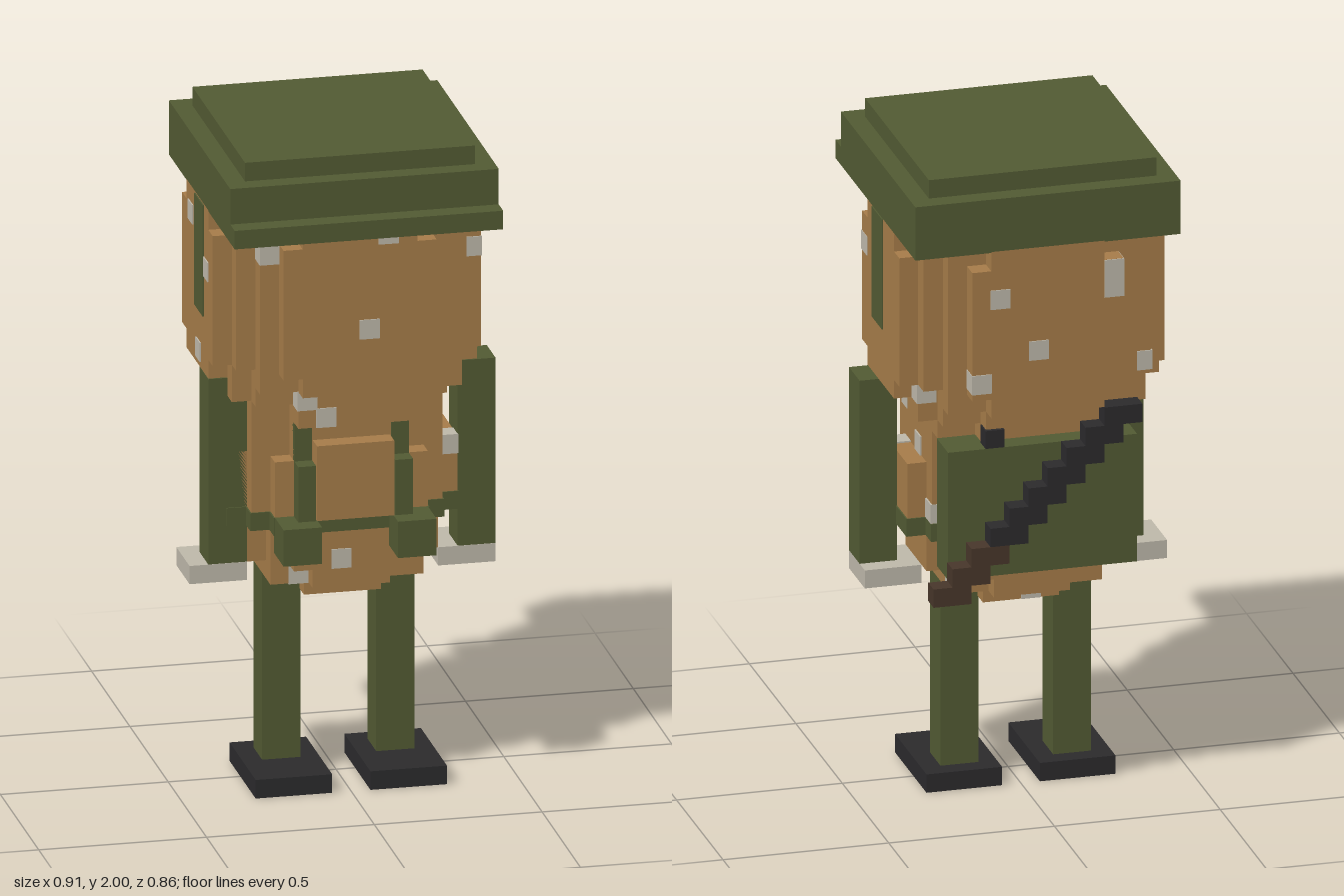
import * as THREE from 'three';

const mat = (name, color) => {
  const m = new THREE.MeshStandardMaterial({ color });
  m.name = name;
  return m;
};

export function createModel() {
  const green = mat('olive green', 0x525a33);
  const skin = mat('potato brown', 0xa67c49);
  const pale = mat('pale grey', 0xbeb8aa);
  const black = mat('charcoal', 0x2b2a2c);
  const wood = mat('dark wood', 0x47362a);
  const model = new THREE.Group();
  const V = 0.0573; // edge of one block

  // Box given by its limits on each axis
  function box(name, m, [x0, x1], [y0, y1], [z0, z1]) {
    const mesh = new THREE.Mesh(new THREE.BoxGeometry(x1 - x0, y1 - y0, z1 - z0), m);
    mesh.position.set((x0 + x1) / 2, (y0 + y1) / 2, (z0 + z1) / 2);
    mesh.name = name;
    model.add(mesh);
    return mesh;
  }
  // The same box on both sides
  function pair(name, m, [x0, x1], y, z) {
    box('left' + name, m, [x0, x1], y, z);
    box('right' + name, m, [-x1, -x0], y, z);
  }
  // Slab with stepped corners; steps are [half width, front z, back z], widest first
  function layer(name, m, y0, y1, steps, grow = 0) {
    const front = [], back = [];
    steps.forEach(([hx, zf, zb], i) => {
      const x = hx + grow;
      if (i > 0) {
        front.push([x, steps[i - 1][1] + grow]);
        back.push([x, steps[i - 1][2] - grow]);
      }
      front.push([x, zf + grow]);
      back.push([x, zb - grow]);
    });
    const flip = (a) => a.map(([x, z]) => [-x, z]);
    const outline = [...front, ...flip(front).reverse(), ...flip(back), ...back.slice().reverse()];
    const shape = new THREE.Shape(outline.map(([x, z]) => new THREE.Vector2(x, -z)));
    const geo = new THREE.ExtrudeGeometry(shape, { depth: y1 - y0, bevelEnabled: false });
    geo.rotateX(-Math.PI / 2);
    const mesh = new THREE.Mesh(geo, m);
    mesh.position.y = y0;
    mesh.name = name;
    model.add(mesh);
  }

  // Feet and legs
  pair('Foot', black, [0.057, 0.285], [0, 0.057], [-0.14, 0.2]);
  pair('Leg', green, [0.113, 0.227], [0.057, 0.66], [-0.083, 0.03]);

  // Rounded body, bottom to top
  const waist = [[0.343, 0.085, -0.14], [0.285, 0.143, -0.2], [0.228, 0.2, -0.257]];
  layer('bodyBase', skin, 0.575, 0.634, [[0.115, 0.085, -0.14]]);
  layer('bodyLow', skin, 0.634, 0.69, [[0.228, 0.143, -0.2], [0.115, 0.2, -0.257]]);
  layer('bodyHips', skin, 0.69, 0.805, [[0.285, 0.085, -0.14], [0.228, 0.143, -0.2], [0.171, 0.2, -0.257]]);
  layer('bodyWaist', skin, 0.805, 1.03, waist);
  layer('bodyChest', skin, 1.03, 1.148, [[0.285, 0.143, -0.2], [0.171, 0.2, -0.257]]);
  layer('neck', skin, 1.148, 1.205, [[0.285, 0.143, -0.257], [0.171, 0.257, -0.315]]);
  box('belly', skin, [-0.115, 0.115], [0.86, 1.09], [0.15, 0.257]);

  // Rounded head
  layer('jaw', skin, 1.205, 1.262, [[0.343, 0.143, -0.257], [0.285, 0.2, -0.315], [0.171, 0.257, -0.372]]);
  layer('cheeks', skin, 1.262, 1.32,
    [[0.4, 0.085, -0.2], [0.343, 0.143, -0.257], [0.285, 0.257, -0.372], [0.171, 0.315, -0.43]]);
  layer('head', skin, 1.32, 1.72,
    [[0.4, 0.143, -0.257], [0.343, 0.2, -0.315], [0.285, 0.257, -0.372], [0.228, 0.315, -0.43]]);
  layer('forehead', skin, 1.72, 1.78,
    [[0.4, 0.085, -0.2], [0.343, 0.2, -0.315], [0.285, 0.257, -0.372], [0.171, 0.315, -0.43]]);

  // Helmet with brim and cheek straps
  box('helmet', green, [-0.4, 0.4], [1.777, 1.943], [-0.43, 0.372]);
  box('helmetTop', green, [-0.343, 0.343], [1.943, 2], [-0.372, 0.315]);
  box('brim', green, [-0.4, 0.4], [1.777, 1.834], [0.372, 0.43]);
  pair('CheekStrap', green, [0.35, 0.404], [1.434, 1.777], [-0.083, 0.03]);

  // Arms and hands
  box('leftArm', green, [0.343, 0.456], [0.69, 1.26], [-0.03, 0.085]);
  box('rightArm', green, [-0.4, -0.285], [0.69, 1.26], [-0.03, 0.085]);
  pair('Hand', pale, [0.285, 0.456], [0.634, 0.69], [-0.086, 0.086]);

  // Belt, pouches, shoulder straps and backpack
  layer('belt', green, 0.805, 0.86, waist, 0.004);
  pair('Pouch', green, [0.113, 0.228], [0.748, 0.86], [0.19, 0.315]);
  pair('StrapLow', green, [0.118, 0.171], [0.86, 1.03], [0.18, 0.257]);
  pair('StrapHigh', green, [0.118, 0.171], [1.03, 1.145], [0.15, 0.205]);
  box('backpack', green, [-0.285, 0.285], [0.748, 1.145], [-0.372, -0.25]);
  box('packClip', black, [0.115, 0.172], [1.145, 1.2], [-0.372, -0.315]);

  // Stepped club slung across the backpack
  for (let i = 0; i < 10; i++) {
    const x = 0.345 - i * V, y = 0.69 + i * 0.057;
    box(i < 3 ? 'clubHandle' : 'clubShaft', i < 3 ? wood : black,
      [x - 2 * V, x], [y, y + 0.057], [-0.43, -0.372]);
  }

  // Pale skin spots, one block each, standing just proud of the surface
  const spots = [
    [-0.257, 1.69, 0.231], [0.085, 1.748, 0.289], [0.028, 1.46, 0.289], [0.372, 1.63, 0.117],
    [-0.145, 1.233, 0.231], [-0.088, 1.177, 0.231], [0.315, 1.005, 0.057], [-0.03, 0.72, 0.174],
    [-0.145, 0.662, 0.117], [0.315, 1.233, -0.113], [0.317, 1.29, -0.228], [0.26, 1.06, -0.055],
    [0.26, 0.89, -0.171], [0.143, 1.63, -0.404], [0.028, 1.46, -0.404], [0.2, 1.37, -0.404],
    [-0.2, 1.69, -0.404], [-0.2, 1.633, -0.404], [-0.317, 1.35, -0.289], [-0.374, 1.7, -0.14],
    [-0.374, 1.59, 0.06], [-0.374, 1.31, -0.04], [0.085, 0.604, -0.03], [-0.03, 0.604, -0.113],
    [0.2, 0.662, -0.17],
  ];
  for (const [x, y, z] of spots) {
    const h = V / 2 + 0.001;
    box('spot', pale, [x - h, x + h], [y - h, y + h], [z - h, z + h]);
  }
  return model;
}
